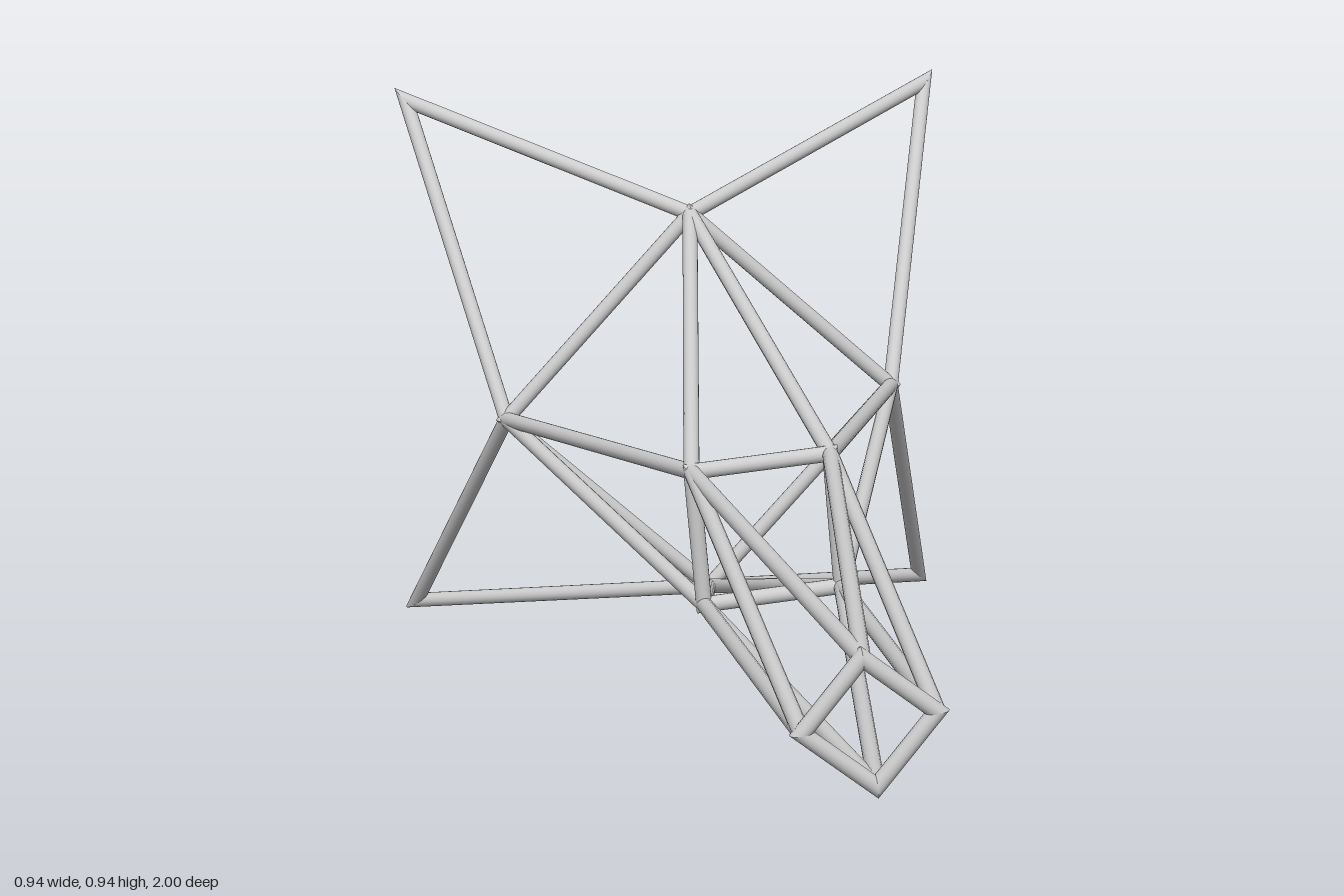
import * as THREE from 'three';

const R = 0.0125; // bar radius
const CY = 0.47; // height of the long axis

// Four nodes, each a quarter turn clockwise from the last
const ringNodes = (x, y, z) => {
  const nodes = [];
  for (let i = 0; i < 4; i++) {
    nodes.push(new THREE.Vector3(x, y + CY, z));
    [x, y] = [y, -x];
  }
  return nodes;
};

// Smooth round bar from a to b; an end is mitred when the next node past it is given
function barGeometry(a, b, beforeA, afterB) {
  const dir = b.clone().sub(a).normalize();
  const length = a.distanceTo(b);
  const geo = new THREE.CylinderGeometry(R, R, length, 16);
  geo.applyQuaternion(new THREE.Quaternion().setFromUnitVectors(new THREE.Vector3(0, 1, 0), dir));
  const mid = a.clone().lerp(b, 0.5);
  geo.translate(mid.x, mid.y, mid.z);
  const pos = geo.attributes.position;
  const v = new THREE.Vector3();
  const miter = (node, next, away) => {
    const normal = next.clone().sub(node).normalize().sub(away);
    for (let i = 0; i < pos.count; i++) {
      v.fromBufferAttribute(pos, i);
      const nearA = v.clone().sub(mid).dot(dir) < 0;
      if (nearA !== (node === a)) continue;
      v.addScaledVector(dir, node.clone().sub(v).dot(normal) / dir.dot(normal));
      pos.setXYZ(i, v.x, v.y, v.z);
    }
  };
  if (beforeA) miter(a, beforeA, dir);
  if (afterB) miter(b, afterB, dir.clone().negate());
  return geo;
}

export function createModel() {
  const model = new THREE.Group();
  model.name = 'spaceFrame';
  const grey = new THREE.MeshStandardMaterial({ color: 0xcccccc });
  grey.name = 'lightGreyMetal';

  const group = (name) => {
    const g = new THREE.Group();
    g.name = name;
    model.add(g);
    return g;
  };
  const addBar = (parent, name, ...ends) => {
    const mesh = new THREE.Mesh(barGeometry(...ends), grey);
    mesh.name = name;
    parent.add(mesh);
  };

  // Node rings from nose to tail, starting near the top
  const front = ringNodes(-0.011, 0.095, 0.9875);
  const middle = ringNodes(0.099, 0.118, 0.105);
  const back = ringNodes(-0.015, 0.328, -0.605);
  const tips = ringNodes(0.453, 0.453, -0.978);

  // Closed square rings
  const rings = { frontRing: front, middleRing: middle, backRing: back };
  for (const [name, n] of Object.entries(rings)) {
    const g = group(name);
    for (let i = 0; i < 4; i++) {
      addBar(g, 'ringBar', n[i], n[(i + 1) % 4], n[(i + 3) % 4], n[(i + 2) % 4]);
    }
  }

  // Zigzag struts between rings, and the pointed tail fins
  const frontStruts = group('frontStruts');
  const backStruts = group('backStruts');
  const fins = group('tailFins');
  for (let i = 0; i < 4; i++) {
    const j = (i + 1) % 4;
    for (const [k, other] of [[i, j], [j, i]]) {
      addBar(frontStruts, 'frontStrut', front[k], middle[i]);
      addBar(backStruts, 'backStrut', middle[i], back[k]);
      addBar(fins, 'finBar', back[k], tips[i], null, back[other]);
    }
  }
  return model;
}
